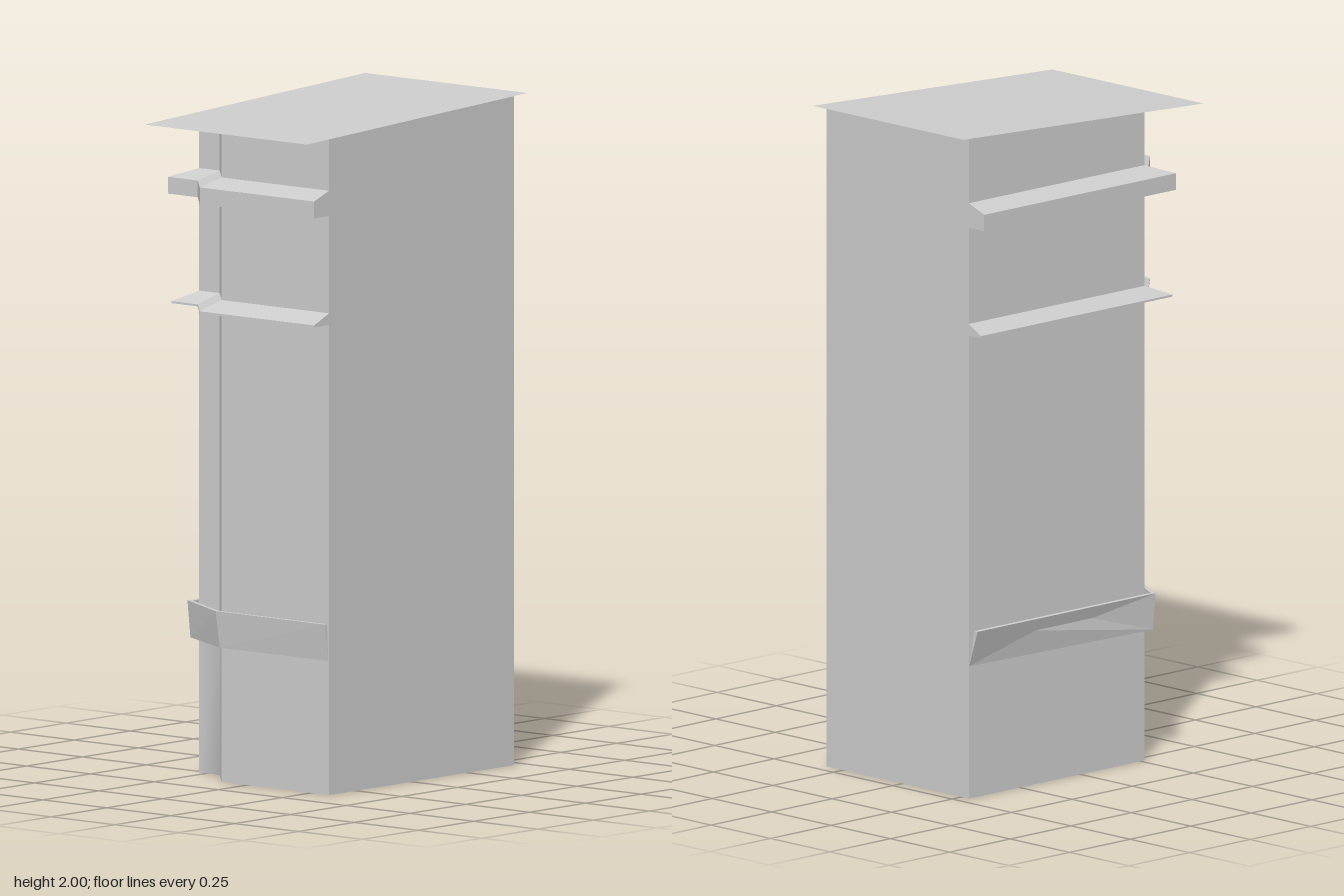
import * as THREE from 'three';

const material = new THREE.MeshStandardMaterial({ color: 0xcccccc, side: THREE.DoubleSide });

// Height of the sloping roof at a given depth
const roofY = (z) => 1.976 - 0.0477 * z;

// Wall plan as [x, z], from the back of the stepped side round to the front
const BACK = -0.46, RIGHT = 0.32, SIDE = -0.28, RECESS = 0.265, FRONT = 0.37;
const wallPath = [[SIDE, BACK], [SIDE, RECESS], [-0.2, RECESS], [-0.1, FRONT], [RIGHT, FRONT]];

// Same path pushed outward, mitred at the bends
const outset = (d, side = d) => [
  [SIDE - side, BACK], [SIDE - side, RECESS + d], [-0.2 - 0.41 * d, RECESS + d],
  [-0.1 - 0.41 * d, FRONT + d], [RIGHT, FRONT + d],
];

// Places a plan path at a fixed height, or at a height that depends on z
const at = (path, y) => path.map(([x, z]) => [x, typeof y === 'function' ? y(z) : y, z]);

// Skins between neighbouring rows of points; 'closed' joins the last row to the first,
// 'caps' fills both ends, 'smooth' shares vertices
function skin(name, rows, { closed = false, caps = false, smooth = false } = {}) {
  const n = rows[0].length, index = [];
  const id = (r, i) => (r % rows.length) * n + i;
  for (let r = 0; r < rows.length - (closed ? 0 : 1); r++) {
    for (let i = 0; i < n - 1; i++) {
      const a = id(r, i), b = id(r, i + 1), c = id(r + 1, i + 1), d = id(r + 1, i);
      index.push(a, b, c, a, c, d);
    }
  }
  if (caps) {
    for (let r = 1; r < rows.length - 1; r++) {
      index.push(id(0, 0), id(r, 0), id(r + 1, 0));
      index.push(id(0, n - 1), id(r + 1, n - 1), id(r, n - 1));
    }
  }
  let geometry = new THREE.BufferGeometry();
  geometry.setAttribute('position', new THREE.Float32BufferAttribute(rows.flat(2), 3));
  geometry.setIndex(index);
  if (!smooth) geometry = geometry.toNonIndexed();
  geometry.computeVertexNormals();
  const mesh = new THREE.Mesh(geometry, material);
  mesh.name = name;
  return mesh;
}

// Moulding: profile points are [outset at front, outset at side, height]
function ledge(name, profile) {
  const rows = profile.map(([d, side, y]) => at(outset(d, side), y));
  return skin(name, rows, { closed: true, caps: true });
}

export function createModel() {
  const model = new THREE.Group();
  model.name = 'tower';

  // Hollow walls, open at the bottom
  const plainPath = [[RIGHT, FRONT], [RIGHT, BACK], [SIDE, BACK], [SIDE, RECESS]];
  model.add(skin('plainWalls', [at(plainPath, 0), at(plainPath, roofY)]));
  const recessPath = wallPath.slice(1, 4);
  model.add(skin('upperRecess', [at(recessPath, 0.4), at(recessPath, roofY)]));
  model.add(skin('lowerRecess', [at(recessPath, 0), at(recessPath, 0.4)], { smooth: true }));
  const frontPath = wallPath.slice(3);
  model.add(skin('frontWall', [at(frontPath, 0), at(frontPath, roofY)]));

  // Thin sloping roof sheet with a small overhang
  const roofEdge = (z) => at([[-0.295, z], [0.34, z]], roofY);
  model.add(skin('roof', [roofEdge(0.493), roofEdge(-0.497)]));

  // Two mouldings with sloping tops
  model.add(ledge('upperLedge', [[0, 0, 1.8], [0.067, 0.064, 1.775], [0.067, 0.064, 1.725], [0, 0, 1.725]]));
  model.add(ledge('lowerLedge', [[0, 0, 1.435], [0.067, 0.05, 1.406], [0.067, 0.05, 1.4], [0, 0, 1.4]]));

  // Low band leaning outward and cutting across the recess
  const bandBottom = [[-0.281, BACK], [-0.31, 0.27], [-0.1, 0.378], [RIGHT, 0.374]];
  const bandTop = [[-0.317, BACK], [-0.317, 0.275], [-0.107, 0.39], [RIGHT, 0.39]];
  const bandInner = [[-0.302, BACK], [-0.302, 0.268], [-0.104, 0.379], [RIGHT, 0.379]];
  model.add(skin('band', [at(bandBottom, 0.4), at(bandTop, 0.51), at(bandInner, 0.51)], { closed: true, caps: true }));

  return model;
}
